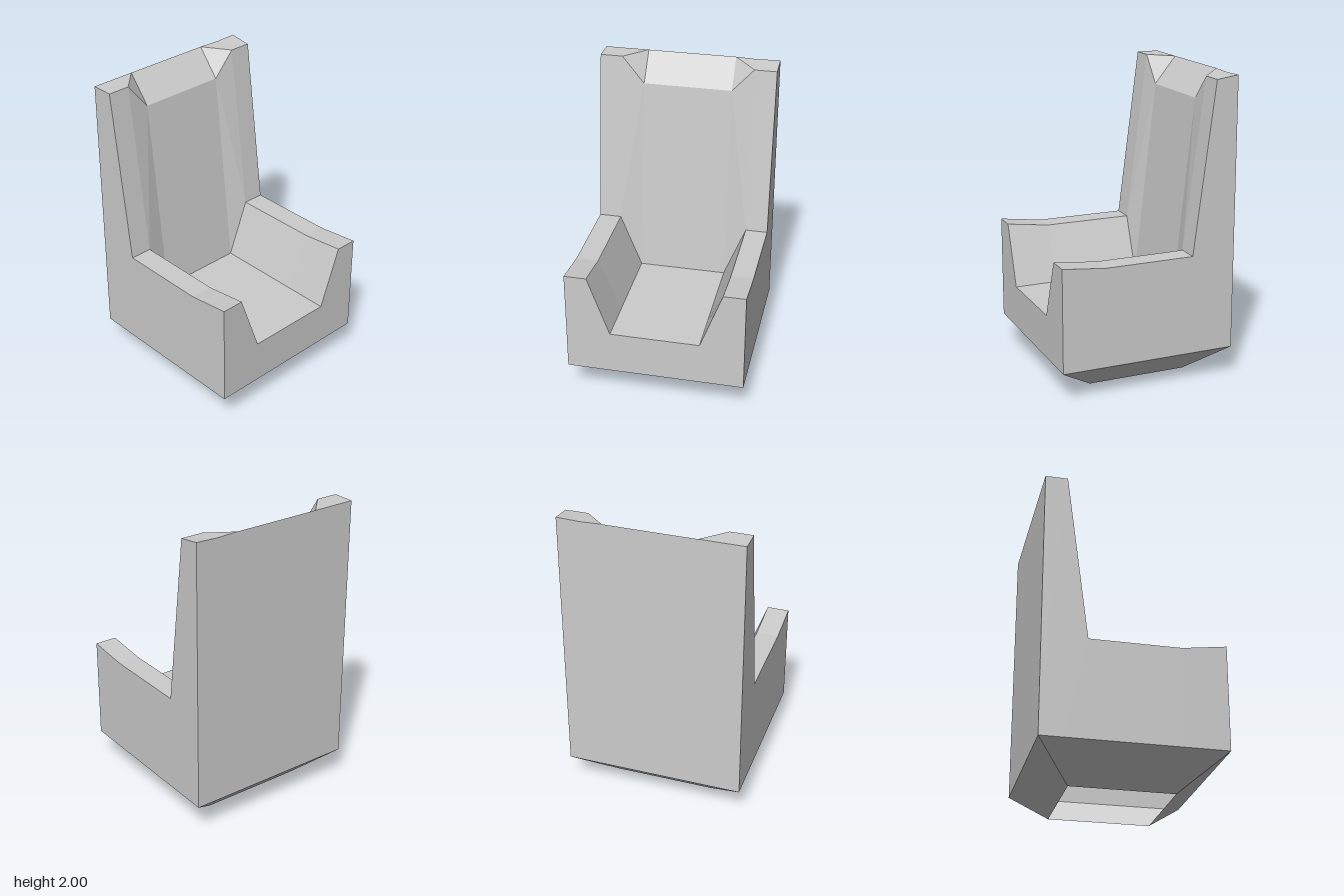
import * as THREE from 'three';

const material = new THREE.MeshStandardMaterial({ color: 0xcccccc, flatShading: true, side: THREE.DoubleSide });

// Grid lines of the sculpted top, and its height at each [x][z] crossing
const xs = [-0.587, -0.44, -0.295, 0.3, 0.587];
const zs = [-0.587, -0.44, -0.295, 0.295, 0.44, 0.587];
const heights = [
  [2, 1.995, 2, 2, 2, 2],                  // rear edge of backrest
  [1.98, 1.98, 1.82, 1.82, 2, 2],          // front edge of backrest top
  [0.865, 0.865, 0.5, 0.5, 0.865, 0.865],  // foot of backrest
  [0.865, 0.865, 0.5, 0.5, 0.865, 0.865],  // arms stay level
  [0.895, 0.895, 0.5, 0.5, 0.905, 0.905],  // arm tips rise slightly
];
const wallBottom = 0.21;
const point = (i, j) => [xs[i], heights[i][j], zs[j]];

function meshFrom(name, triangles) {
  const geometry = new THREE.BufferGeometry();
  geometry.setAttribute('position', new THREE.Float32BufferAttribute(triangles.flat(2), 3));
  geometry.computeVertexNormals();
  const mesh = new THREE.Mesh(geometry, material);
  mesh.name = name;
  return mesh;
}

// Band of quads joining two closed rings, lower to upper
function band(lower, upper) {
  const triangles = [];
  lower.forEach((p, k) => {
    const n = (k + 1) % lower.length;
    triangles.push([p, lower[n], upper[n]], [p, upper[n], upper[k]]);
  });
  return triangles;
}

// Cells of the top between two grid columns, split the same way on both sides
function topSurface(from, to) {
  const triangles = [];
  for (let i = from; i < to; i++) {
    for (let j = 0; j < zs.length - 1; j++) {
      const a = point(i, j), b = point(i + 1, j), c = point(i + 1, j + 1), d = point(i, j + 1);
      if (j < 2) triangles.push([a, d, b], [d, c, b]);
      else triangles.push([a, d, c], [a, c, b]);
    }
  }
  return triangles;
}

const rectangle = (x0, x1, z, y) => [[x0, y, z], [x1, y, z], [x1, y, -z], [x0, y, -z]];

export function createModel() {
  const group = new THREE.Group();
  group.name = 'chair';

  // Backrest and the seat with its two arms
  group.add(meshFrom('backrest', topSurface(0, 2)));
  group.add(meshFrom('seatAndArms', topSurface(2, 4)));

  // Upright outer walls follow the rim of the top
  const rim = [];
  const lastX = xs.length - 1, lastZ = zs.length - 1;
  for (let i = 0; i < lastX; i++) rim.push(point(i, lastZ));
  for (let j = lastZ; j > 0; j--) rim.push(point(lastX, j));
  for (let i = lastX; i > 0; i--) rim.push(point(i, 0));
  for (let j = 0; j < lastZ; j++) rim.push(point(0, j));
  group.add(meshFrom('walls', band(rim.map(([x, , z]) => [x, wallBottom, z]), rim)));

  // Tapered base, open underneath
  group.add(meshFrom('base', band(
    rectangle(-0.36, 0.31, 0.335, 0),
    rectangle(xs[0], xs[lastX], zs[lastZ], wallBottom),
  )));

  return group;
}
